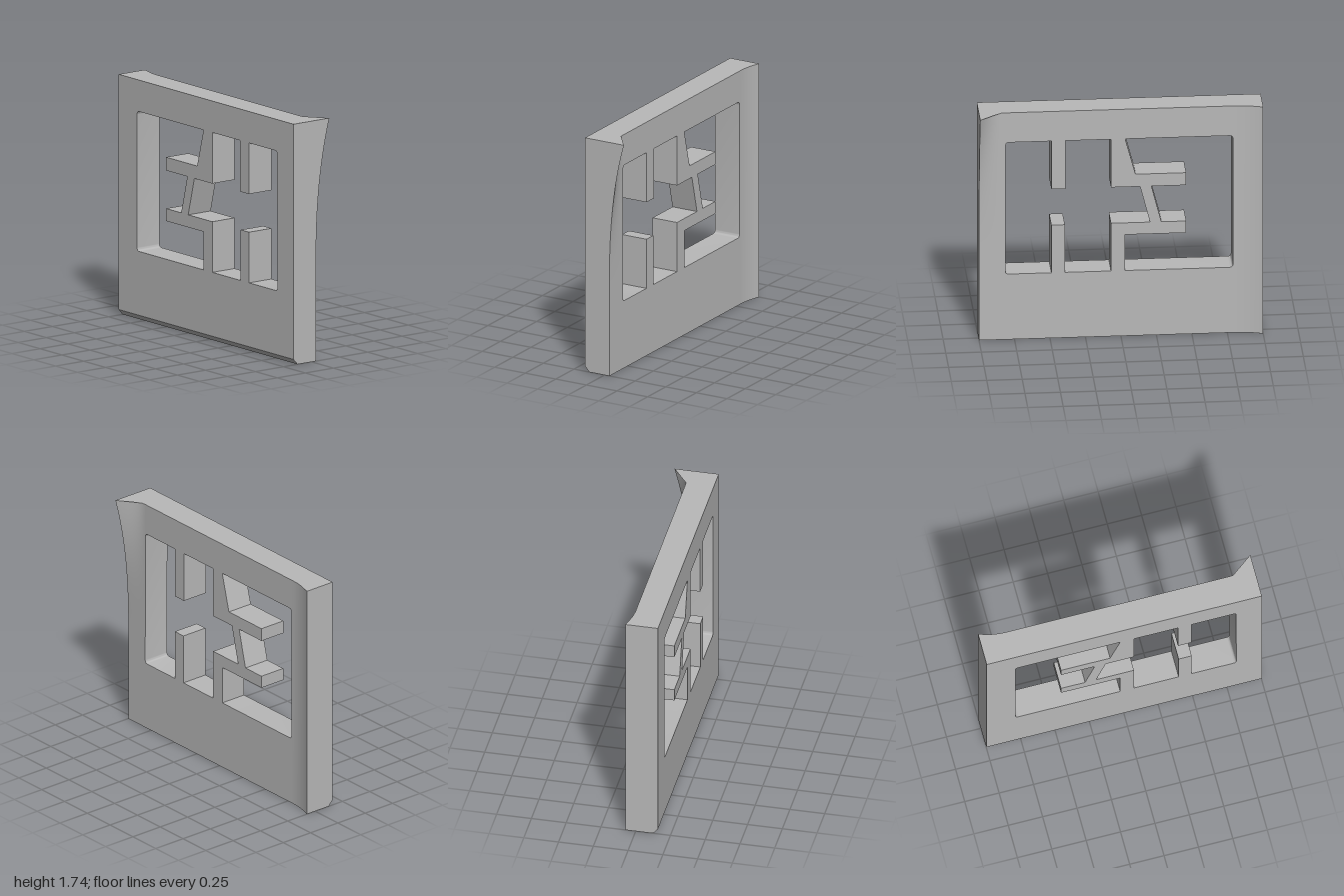
import * as THREE from 'three';
import { toCreasedNormals } from 'three/addons/utils/BufferGeometryUtils.js';

const H = 1.735, BACK = -0.16, FACE = 0.04, CHAMFER = 0.04;
const grey = new THREE.MeshStandardMaterial({ color: 0xb8b8b8 });
grey.name = 'plain grey';

function part(name, geometry) {
  const mesh = new THREE.Mesh(geometry, grey);
  mesh.name = name;
  return mesh;
}

// Closed outline; a third number on a corner rounds it by that radius.
function outline(points, path) {
  const n = points.length;
  points.forEach(([u, y, r = 0], i) => {
    const p = new THREE.Vector2(u, y);
    const toward = (q) => new THREE.Vector2(q[0], q[1]).sub(p).setLength(r).add(p);
    const a = r ? toward(points[(i + n - 1) % n]) : p;
    if (i === 0) path.moveTo(a.x, a.y); else path.lineTo(a.x, a.y);
    if (r) {
      const b = toward(points[(i + 1) % n]);
      path.quadraticCurveTo(u, y, b.x, b.y);
    }
  });
  path.closePath();
  return path;
}

// Panel with its two cut-outs, drawn with u = -z and extruded along x.
function panelGeometry() {
  const shape = outline([[-1, CHAMFER], [1, CHAMFER], [1, H], [-1, H]], new THREE.Shape());
  const R = 0.025;
  const frontOpening = [
    [-0.815, 0.5, R], [-0.49, 0.5], [-0.49, 0.865], [-0.395, 0.865], [-0.395, 0.5],
    [-0.07, 0.5], [-0.07, 0.865], [0.205, 0.865], [0.135, 1.14], [-0.07, 1.14],
    [-0.07, 1.508], [-0.39, 1.508], [-0.39, 1.14], [-0.49, 1.14], [-0.49, 1.508], [-0.812, 1.508, R],
  ];
  const backOpening = [
    [0.03, 0.5], [0.79, 0.5, R], [0.79, 1.508, R], [0.03, 1.508], [0.103, 1.235],
    [0.46, 1.235], [0.46, 1.14], [0.215, 1.14], [0.285, 0.865], [0.46, 0.865],
    [0.46, 0.775], [0.03, 0.775],
  ];
  for (const hole of [frontOpening, backOpening]) shape.holes.push(outline(hole, new THREE.Path()));
  const g = new THREE.ExtrudeGeometry(shape, { depth: FACE - BACK, bevelEnabled: false, curveSegments: 6 });
  g.rotateY(Math.PI / 2).translate(BACK, 0, 0);
  return toCreasedNormals(g, 0.6);
}

// Foot strip with the chamfered lower edge.
function footGeometry() {
  const s = outline([[BACK + 0.035, 0], [FACE, 0], [FACE, CHAMFER], [BACK, CHAMFER]], new THREE.Shape());
  return new THREE.ExtrudeGeometry(s, { depth: 2, bevelEnabled: false }).translate(0, 0, -1);
}

// Curved lip along one end: horizontal cross-sections joined upward.
function lipGeometry(zIn, zOut, power, y0, rows, rise) {
  const steps = 14, pos = [], idx = [];
  const ring = steps + 3;
  for (let j = 0; j <= rows; j++) {
    const y = y0 + (H - y0) * j / rows;
    for (let i = 0; i <= steps; i++) {
      const t = i / steps;
      pos.push(FACE + rise(y) * t ** power, y, zIn + (zOut - zIn) * t);
    }
    pos.push(FACE - 0.02, y, zOut, FACE - 0.02, y, zIn);
  }
  const flip = zOut > 0;
  const tri = (a, b, c) => (flip ? idx.push(a, c, b) : idx.push(a, b, c));
  for (let j = 0; j < rows; j++) {
    for (let i = 0; i < ring; i++) {
      const k = (i + 1) % ring, a = j * ring, b = a + ring;
      tri(a + i, a + k, b + k);
      tri(a + i, b + k, b + i);
    }
  }
  // End caps as strips between the curve and the inner edge
  const top = rows * ring;
  for (const [o, up] of [[0, false], [top, true]]) {
    const inner = o + steps + 2, outer = o + steps + 1;
    const cap = (a, b, c) => (up ? tri(a, b, c) : tri(a, c, b));
    for (let i = 0; i < steps; i++) cap(inner, o + i, o + i + 1);
    cap(inner, o + steps, outer);
  }
  const g = new THREE.BufferGeometry();
  g.setAttribute('position', new THREE.Float32BufferAttribute(pos, 3));
  g.setIndex(idx);
  return toCreasedNormals(g, 0.6);
}

export function createModel() {
  const model = new THREE.Group();
  model.name = 'cutoutPanel';
  model.add(part('panel', panelGeometry()));
  model.add(part('chamferedFoot', footGeometry()));
  // Even lip at the back end, lip growing toward the top at the front end
  model.add(part('backLip', lipGeometry(-0.8, -1, 2, 0, 1, () => 0.035)));
  model.add(part('frontLip', lipGeometry(0.815, 1, 2.1, 0.7, 20,
    (y) => 0.118 * ((y - 0.7) / (H - 0.7)) ** 2.4)));
  return model;
}
